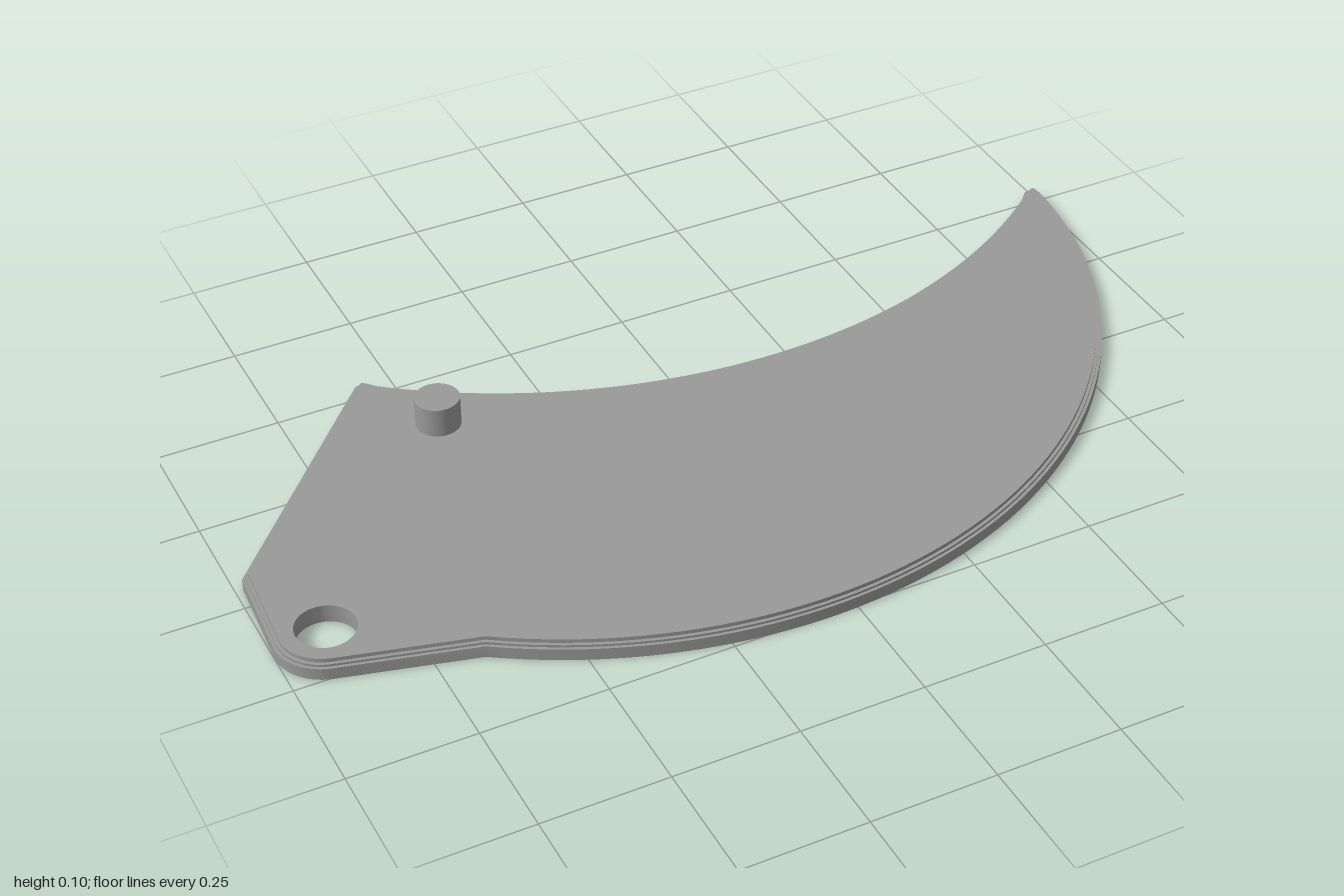
import * as THREE from 'three';
import { toCreasedNormals } from 'three/addons/utils/BufferGeometryUtils.js';

const grey = new THREE.MeshStandardMaterial({ color: 0x999999 });
grey.name = 'grey';

// Points along an arc on the ground plane (angles in degrees, from +x towards +z)
function arc(cx, cz, r, from, to, steps) {
  return Array.from({ length: steps + 1 }, (_, i) => {
    const a = THREE.MathUtils.degToRad(from + (to - from) * i / steps);
    return new THREE.Vector2(cx + r * Math.cos(a), -(cz + r * Math.sin(a)));
  });
}

// Crescent blade outline, counter-clockwise from above
const outline = [
  ...arc(-0.06, -0.554, 1.062, 124.4, 3.3, 64),      // outer curve
  ...arc(0.982, -0.493, 0.018, 0, -129.8, 8),        // pointed tip
  ...arc(0.205, -1.425, 1.2, 50, 130, 48).slice(1, -1), // inner curve
  ...arc(-0.571, -0.493, 0.018, -50, -138.7, 6),     // rear corner
  new THREE.Vector2(-0.985, -(-0.05)),
  ...arc(-0.9, 0.156, 0.1, 178, 103, 12),            // pivot ear
];

// Moves each side of the outline inwards by d
function inset(points, d) {
  const n = points.length;
  const normal = (a, b) => new THREE.Vector2(a.y - b.y, b.x - a.x).normalize();
  return points.map((p, i) => {
    const n1 = normal(points[(i + n - 1) % n], p);
    const n2 = normal(p, points[(i + 1) % n]);
    const k = d / (1 + n1.dot(n2));
    return n1.add(n2).multiplyScalar(k).add(p);
  });
}

function layer(name, bottom, top, d) {
  const shape = new THREE.Shape(inset(outline, d));
  shape.holes.push(new THREE.Path(arc(-0.9, 0.156, 0.058, 0, 360, 40).slice(0, -1)));
  const geometry = new THREE.ExtrudeGeometry(shape, { depth: top - bottom, bevelEnabled: false });
  geometry.rotateX(-Math.PI / 2);
  const mesh = new THREE.Mesh(toCreasedNormals(geometry, 0.5), grey);
  mesh.name = name;
  mesh.position.y = bottom;
  return mesh;
}

export function createModel() {
  const model = new THREE.Group();
  model.name = 'crescentBlade';

  // Plate with a fine stepped upper rim
  model.add(
    layer('bladeBase', 0, 0.025, 0),
    layer('rimStep', 0.025, 0.03, 0.006),
    layer('bladeTop', 0.03, 0.038, 0.0125),
  );

  // Guide pin
  const pin = new THREE.Mesh(new THREE.CylinderGeometry(0.045, 0.045, 0.07, 40), grey);
  pin.name = 'guidePin';
  pin.position.set(-0.485, 0.065, -0.31);
  model.add(pin);
  return model;
}
